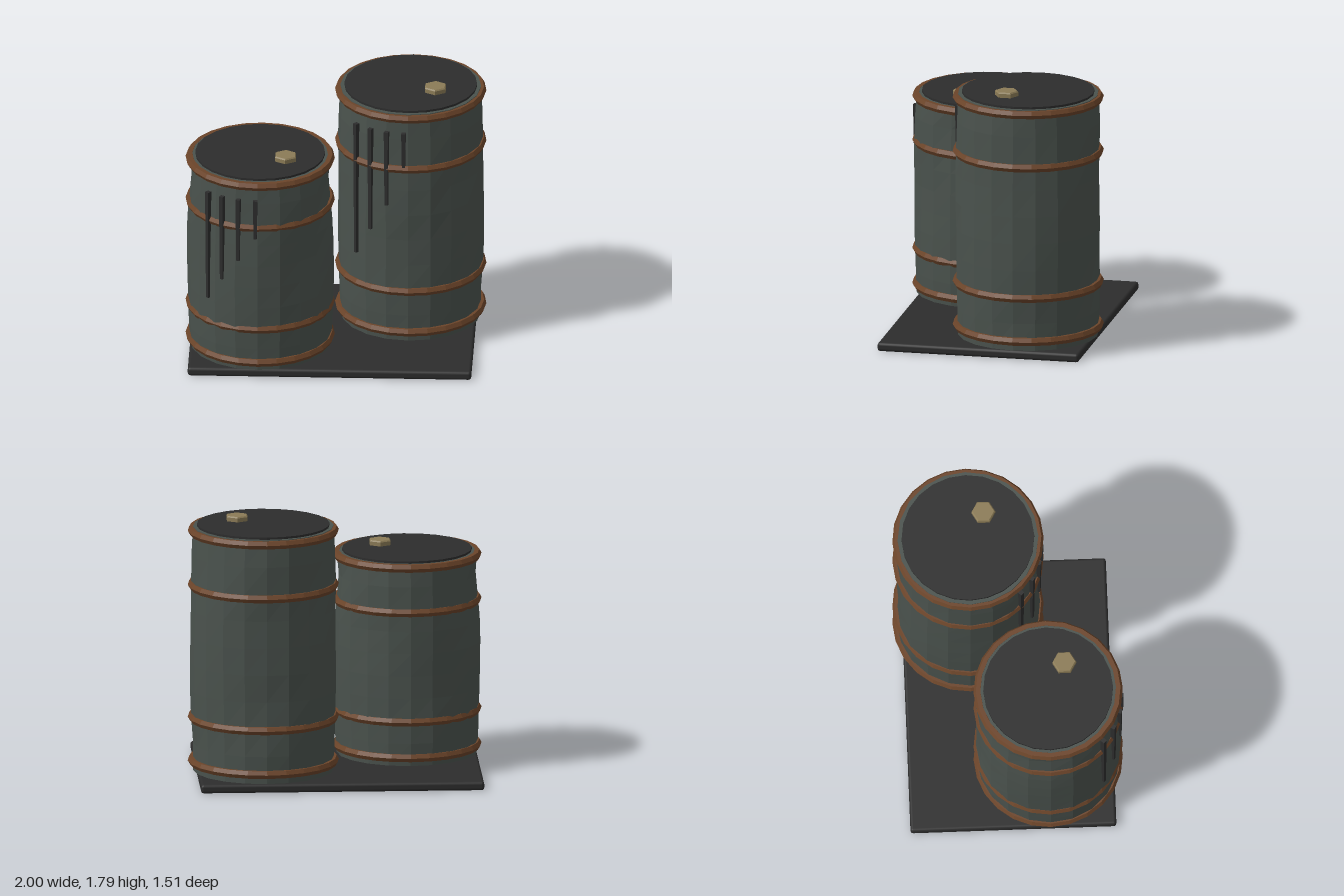
import * as THREE from 'three';
import { RoundedBoxGeometry } from 'three/addons/geometries/RoundedBoxGeometry.js';

const paint = (name, color) => {
  const m = new THREE.MeshStandardMaterial({ color });
  m.name = name;
  return m;
};

// Give every face its own normal
function faceted(geometry) {
  const g = geometry.index ? geometry.toNonIndexed() : geometry;
  g.computeVertexNormals();
  return g;
}

export function createModel() {
  const steel = paint('grey green steel', 0x4a524d);
  const dark = paint('dark grey', 0x2d2d2d);
  const rust = paint('rusty brown', 0x6b4429);
  const brass = paint('dull brass', 0x8b7b56);

  const model = new THREE.Group();
  const add = (parent, name, geometry, material, x = 0, y = 0, z = 0) => {
    const mesh = new THREE.Mesh(geometry, material);
    mesh.name = name;
    mesh.position.set(x, y, z);
    parent.add(mesh);
    return mesh;
  };

  // Slightly bulging drum wall; each dent is [angle in degrees, height, depth]
  function drumWall(bottom, top, dents) {
    const h = top - bottom;
    const g = new THREE.CylinderGeometry(0.472, 0.472, h, 20, 9);
    g.translate(0, bottom + h / 2, 0);
    const p = g.attributes.position;
    for (let i = 0; i < p.count; i++) {
      const x = p.getX(i), y = p.getY(i), z = p.getZ(i);
      if (Math.hypot(x, z) < 0.1) continue;
      const a = Math.atan2(z, x);
      let r = 0.472 + 0.02 * Math.pow(Math.sin(Math.PI * (y - bottom) / h), 0.7 || 1);
      if (y < bottom + 0.001 || y > top - 0.001) r = 0.472;
      else {
        r += 0.004 * Math.sin(3 * a + 4 * y);
        for (const [deg, dy, depth] of dents) {
          const da = Math.atan2(Math.sin(a - deg * Math.PI / 180), Math.cos(a - deg * Math.PI / 180));
          r -= depth * Math.exp(-((da / 0.4) ** 2) - ((y - dy) / 0.25) ** 2);
        }
      }
      p.setXYZ(i, Math.cos(a) * r, y, Math.sin(a) * r);
    }
    return faceted(g);
  }

  function drum({ name, x, z, top, ringRadius, lidRadius, hoops, bung, dents, dripTop, drips }) {
    const group = new THREE.Group();
    group.name = name;
    group.position.set(x, 0, z);
    model.add(group);

    add(group, 'drumBody', drumWall(0.07, top, dents), steel);

    // Rusted hoops with a pointed section
    for (const y of hoops) {
      const hoop = new THREE.TorusGeometry(ringRadius - 0.03, 0.03, 6, 24);
      hoop.rotateX(Math.PI / 2);
      add(group, 'hoop', faceted(hoop), rust, 0, y, 0);
    }

    // Lid and hexagonal bung with a chamfered top
    add(group, 'lid', faceted(new THREE.CylinderGeometry(lidRadius, lidRadius, 0.03, 24)), dark, 0, top, 0);
    const cap = new THREE.LatheGeometry([
      [0, 0], [0.08, 0], [0.08, 0.028], [0.072, 0.036], [0, 0.036],
    ].map(([r, y]) => new THREE.Vector2(r, y)), 6);
    add(group, 'bung', faceted(cap), brass, bung[0], top + 0.014, bung[1]);

    // Tar drips, tapering downwards and facing outwards
    for (const [dx, end] of drips) {
      const length = dripTop - end;
      const g = new THREE.CylinderGeometry(0.021, 0.015, length, 4);
      g.rotateY(Math.PI / 4);
      const angle = Math.asin(dx / 0.491);
      const drip = add(group, 'drip', faceted(g), dark,
        dx, end + length / 2, Math.cos(angle) * 0.491);
      drip.rotation.y = angle;
    }
  }

  // Base slab
  add(model, 'base', new RoundedBoxGeometry(1.9, 0.06, 1.38, 2, 0.02), dark, -0.02, 0.03, 0);

  drum({
    name: 'shortDrum', x: -0.5, z: 0.25, top: 1.45, ringRadius: 0.5, lidRadius: 0.435,
    hoops: [0.125, 0.37, 1.12, 1.425], bung: [0.175, 0.115],
    dents: [[180, 1.3, 0.025], [0, 1.3, 0.02], [50, 0.85, 0.018], [250, 0.6, 0.015], [300, 1.0, 0.015]],
    dripTop: 1.33,
    drips: [[-0.335, 0.55], [-0.24, 0.72], [-0.13, 0.88], [-0.015, 1.05]],
  });

  drum({
    name: 'tallDrum', x: 0.49, z: -0.25, top: 1.74, ringRadius: 0.507, lidRadius: 0.445,
    hoops: [0.135, 0.435, 1.34, 1.71], bung: [0.17, 0.11],
    dents: [[90, 0.75, 0.02], [0, 0.2, 0.015], [180, 1.05, 0.012], [270, 0.6, 0.02], [270, 1.15, 0.02], [45, 1.2, 0.012]],
    dripTop: 1.61,
    drips: [[-0.352, 0.66], [-0.255, 0.87], [-0.145, 1.07], [-0.03, 1.36]],
  });

  return model;
}
